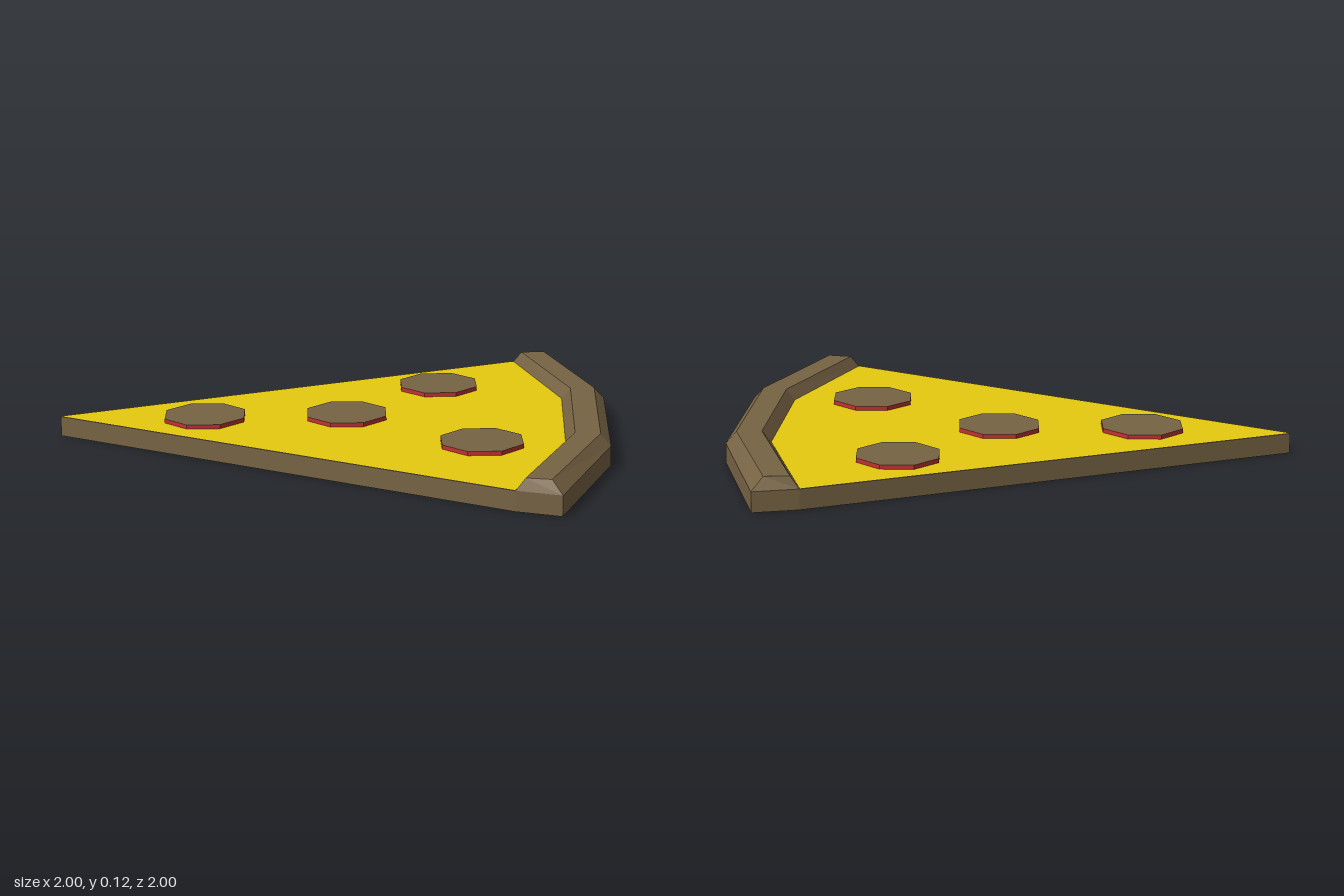
import * as THREE from 'three';

export function createModel() {
  const pizza = new THREE.Group();
  pizza.name = 'pizzaSlice';

  const paint = (name, color) => {
    const m = new THREE.MeshStandardMaterial({ color });
    m.name = name;
    return m;
  };
  const brown = paint('crustBrown', 0x776344);
  const yellow = paint('cheeseYellow', 0xe6ca0e);
  const red = paint('pepperoniRed', 0xc43030);

  const add = (name, geometry, material, parent = pizza) => {
    const mesh = new THREE.Mesh(geometry, material);
    mesh.name = name;
    parent.add(mesh);
    return mesh;
  };

  // Half of each crust line as [x, z]; the slice mirrors across its diagonal.
  const mirrored = (pts) => [...pts, ...pts.map(([x, z]) => [-z, -x]).reverse()];
  const tip = [-1, 1];
  const outer = mirrored([[-0.32, -1], [0.24, -0.71]]);
  const outerTop = mirrored([[-0.315, -0.943], [0.22, -0.675]]);
  const innerTop = mirrored([[-0.37, -0.868], [0.163, -0.6]]);
  const inner = mirrored([[-0.4, -0.85], [0.14, -0.575]]);

  const flatShape = (pts) => new THREE.Shape(pts.map(([x, z]) => new THREE.Vector2(x, -z)));

  // Dough: full outline, standing on the ground
  const doughShape = flatShape([tip, inner[0], ...outer, inner[3]]);
  const dough = new THREE.ExtrudeGeometry(doughShape, { depth: 0.076, bevelEnabled: false });
  dough.rotateX(-Math.PI / 2);
  add('dough', dough, brown);

  // Cheese: thin face over the dough, inside the crust
  const cheese = new THREE.ShapeGeometry(flatShape([tip, ...inner]));
  cheese.rotateX(-Math.PI / 2);
  cheese.translate(0, 0.078, 0);
  add('cheese', cheese, yellow);

  // Raised crust: one four-cornered cross-section at each bend
  const sections = outer.map((p, i) => [
    [p[0], 0.076, p[1]],
    [outerTop[i][0], 0.12, outerTop[i][1]],
    [innerTop[i][0], 0.12, innerTop[i][1]],
    [inner[i][0], 0.076, inner[i][1]],
  ]);
  const positions = [];
  const quad = (a, b, c, d) => positions.push(...a, ...b, ...c, ...a, ...c, ...d);
  for (let i = 0; i < 3; i++) {
    const s = sections[i], t = sections[i + 1];
    for (let k = 0; k < 3; k++) quad(s[k], s[k + 1], t[k + 1], t[k]);
  }
  quad(...[...sections[0]].reverse());
  quad(...sections[3]);
  const crust = new THREE.BufferGeometry();
  crust.setAttribute('position', new THREE.Float32BufferAttribute(positions, 3));
  crust.computeVertexNormals();
  add('crust', crust, brown);

  // Pepperoni: eight-sided discs with red rims and browned tops
  const disc = new THREE.CylinderGeometry(0.162, 0.162, 0.02, 8).toNonIndexed();
  disc.computeVertexNormals();
  const spots = [[-0.32, -0.345], [-0.25, 0.205], [0.37, 0.09], [-0.6, 0.615]];
  spots.forEach(([x, z], i) => {
    const mesh = add('pepperoni' + (i + 1), disc, [red, brown, red]);
    mesh.position.set(x, 0.084, z);
    mesh.rotation.y = -0.32;
  });

  return pizza;
}
